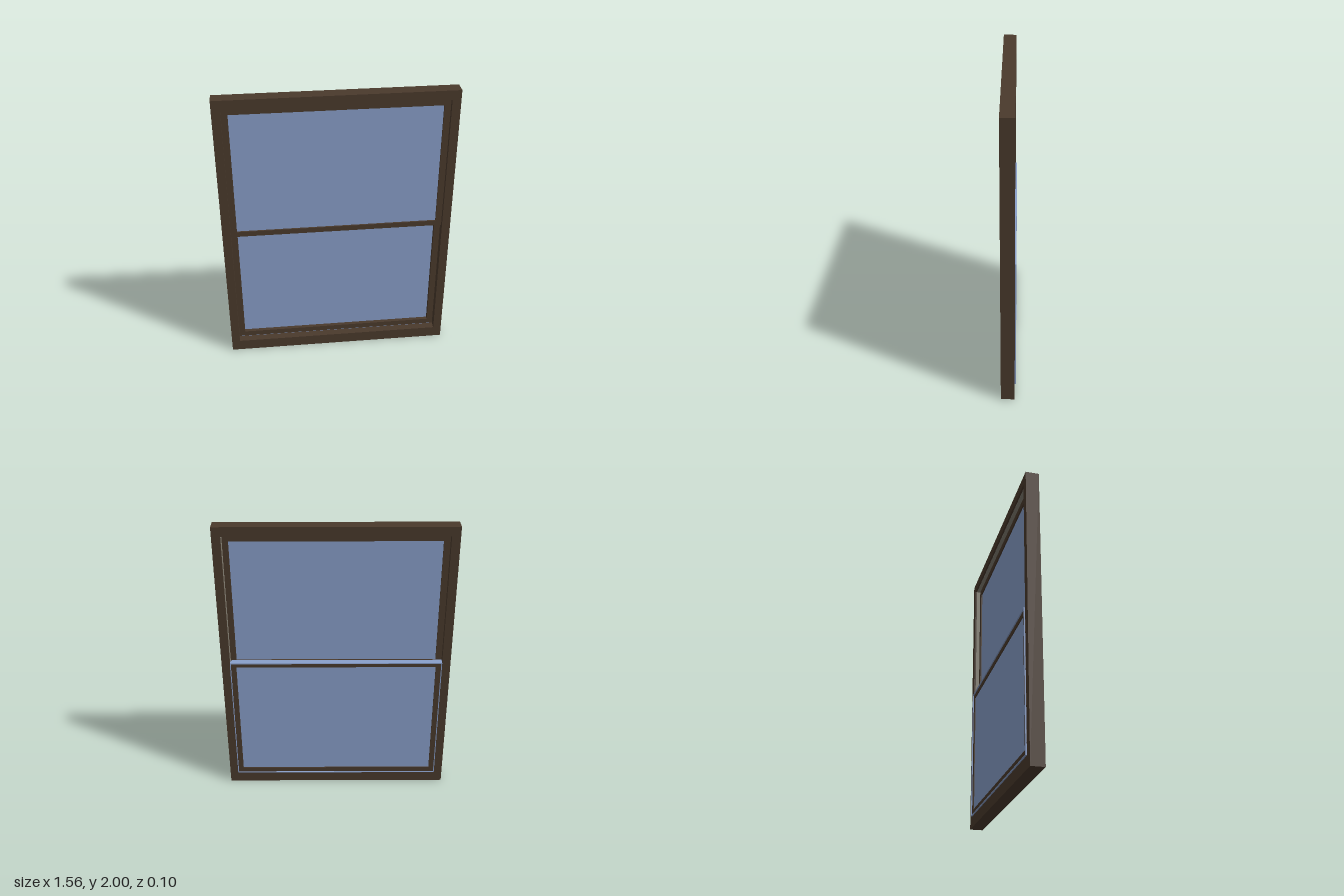
import * as THREE from 'three';

const mat = (name, color) => {
  const m = new THREE.MeshStandardMaterial({ color });
  m.name = name;
  return m;
};

// Rectangle as corner points, from left x to right x and bottom y to top y
const corners = (hw, y0, y1) => [[-hw, y0], [hw, y0], [hw, y1], [-hw, y1]].map(p => new THREE.Vector2(...p));

// Rectangular ring from an outer and an inner rectangle, between two depths
function ring(name, outer, inner, z0, z1, material) {
  const shape = new THREE.Shape(corners(...outer));
  shape.holes.push(new THREE.Path(corners(...inner)));
  const geo = new THREE.ExtrudeGeometry(shape, { depth: z1 - z0, bevelEnabled: false });
  geo.translate(0, 0, z0);
  const mesh = new THREE.Mesh(geo, material);
  mesh.name = name;
  return mesh;
}

function box(name, x0, x1, y0, y1, z0, z1, material) {
  const mesh = new THREE.Mesh(new THREE.BoxGeometry(x1 - x0, y1 - y0, z1 - z0), material);
  mesh.position.set((x0 + x1) / 2, (y0 + y1) / 2, (z0 + z1) / 2);
  mesh.name = name;
  return mesh;
}

export function createModel() {
  const wood = mat('dark brown wood', 0x4a3a2c);
  const glass = mat('blue glass', 0x8aa0cb);
  const liner = mat('grey liner', 0x8a8578);

  const model = new THREE.Group();
  model.name = 'sashWindow';

  // Fixed outer frame
  model.add(ring('outerFrame', [0.782, 0, 2], [0.725, 0.08, 1.935], -0.042, 0.048, wood));

  // A sash: wooden ring with a pane set in its opening
  const sash = (name, y0, y1, open0, open1, z0, z1, paneZ) => {
    const g = new THREE.Group();
    g.name = name;
    g.add(ring('sashFrame', [0.725, y0, y1], [0.683, open0, open1], z0, z1, wood));
    g.add(box('pane', -0.683, 0.683, open0, open1, paneZ - 0.003, paneZ + 0.003, glass));
    model.add(g);
    return g;
  };
  sash('upperSash', 0.985, 1.935, 1.022, 1.89, -0.004, 0.022, 0.008);
  const lower = sash('lowerSash', 0.083, 1.016, 0.122, 0.985, -0.043, -0.005, -0.034);

  // Blue edging around the lower sash, standing proud at the back
  lower.add(ring('sashEdging', [0.7245, 0.0805, 1.021], [0.719, 0.086, 1.015], -0.051, -0.0055, glass));

  // Liner strips in the recess behind the upper sash
  model.add(box('jambLiner', 0.722, 0.7255, 1.022, 1.935, -0.03, -0.004, liner));
  model.add(box('headLiner', -0.725, 0.722, 1.932, 1.9355, -0.03, -0.004, liner));

  return model;
}
